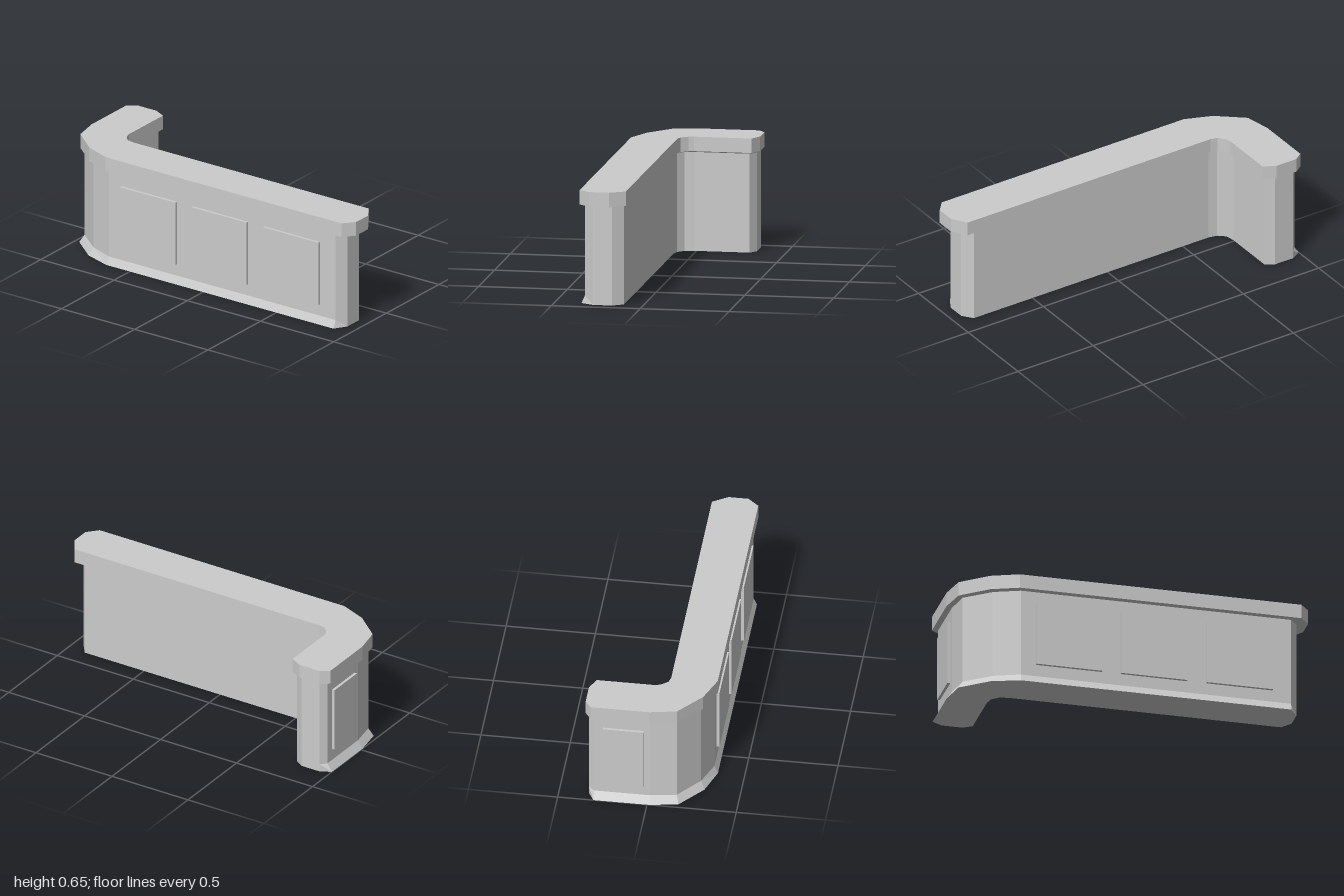
import * as THREE from 'three';

const material = new THREE.MeshStandardMaterial({ color: 0xcccccc, flatShading: true });

// Matching L-shaped outlines [x, z], clockwise seen from above.
const slabOutline = [
  [-1, -0.315], [-0.95, -0.35], [-0.82, -0.35], [-0.75, -0.315],
  [-0.75, 0.01], [-0.742, 0.04], [-0.71, 0.08], [-0.67, 0.09],
  [0.945, 0.09], [1, 0.175], [1, 0.287], [0.945, 0.35],
  [-0.665, 0.35], [-0.82, 0.29], [-0.97, 0.165], [-1, 0.015],
];
const bodyOutline = [
  [-0.97, -0.3], [-0.94, -0.333], [-0.82, -0.333], [-0.77, -0.3],
  [-0.77, 0.01], [-0.76, 0.065], [-0.72, 0.1], [-0.67, 0.11],
  [0.89, 0.11], [0.935, 0.17], [0.935, 0.277], [0.89, 0.33],
  [-0.655, 0.33], [-0.8, 0.275], [-0.945, 0.16], [-0.97, 0.015],
];
// The kick plate flares out only along the customer side.
const flare = { 0: [-1, -0.3], 11: [0.89, 0.35], 12: [-0.66, 0.35], 13: [-0.82, 0.297], 14: [-0.973, 0.172], 15: [-1, 0.015] };
const footOutline = bodyOutline.map((p, i) => flare[i] ?? p);

// Closed solid through stacked outlines: levels = [[y, outline], ...] from bottom to top.
function loft(name, levels) {
  const n = levels[0][1].length;
  const positions = levels.flatMap(([y, outline]) => outline.flatMap(([x, z]) => [x, y, z]));
  const index = [];
  for (let k = 0; k < levels.length - 1; k++) {
    for (let i = 0; i < n; i++) {
      const a = k * n + i, b = k * n + (i + 1) % n;
      index.push(a, a + n, b + n, a, b + n, b);
    }
  }
  const cap = (outline) => THREE.ShapeUtils.triangulateShape(outline.map(([x, z]) => new THREE.Vector2(x, z)), []);
  const last = (levels.length - 1) * n;
  for (const [a, b, c] of cap(levels[0][1])) index.push(a, b, c);
  for (const [a, b, c] of cap(levels[levels.length - 1][1])) index.push(last + a, last + c, last + b);

  const indexed = new THREE.BufferGeometry();
  indexed.setAttribute('position', new THREE.Float32BufferAttribute(positions, 3));
  indexed.setIndex(index);
  const geometry = indexed.toNonIndexed();
  geometry.computeVertexNormals();
  const mesh = new THREE.Mesh(geometry, material);
  mesh.name = name;
  return mesh;
}

function panel(name, width, depth, x, z) {
  const mesh = new THREE.Mesh(new THREE.BoxGeometry(width, 0.376, depth), material);
  mesh.name = name;
  mesh.position.set(x, 0.302, z);
  return mesh;
}

export function createModel() {
  const group = new THREE.Group();
  group.name = 'barCounter';

  // Counter body with its flared kick plate
  group.add(loft('counterBody', [[0, footOutline], [0.045, bodyOutline], [0.558, bodyOutline]]));

  // Overhanging worktop with a bevelled underside
  group.add(loft('worktop', [[0.558, bodyOutline], [0.566, slabOutline], [0.648, slabOutline]]));

  // Raised panels on the front and on the left end
  for (const x of [-0.38, 0.105, 0.595]) group.add(panel('frontPanel', 0.378, 0.03, x, 0.331));
  group.add(panel('sidePanel', 0.03, 0.23, -0.971, -0.135));

  return group;
}
